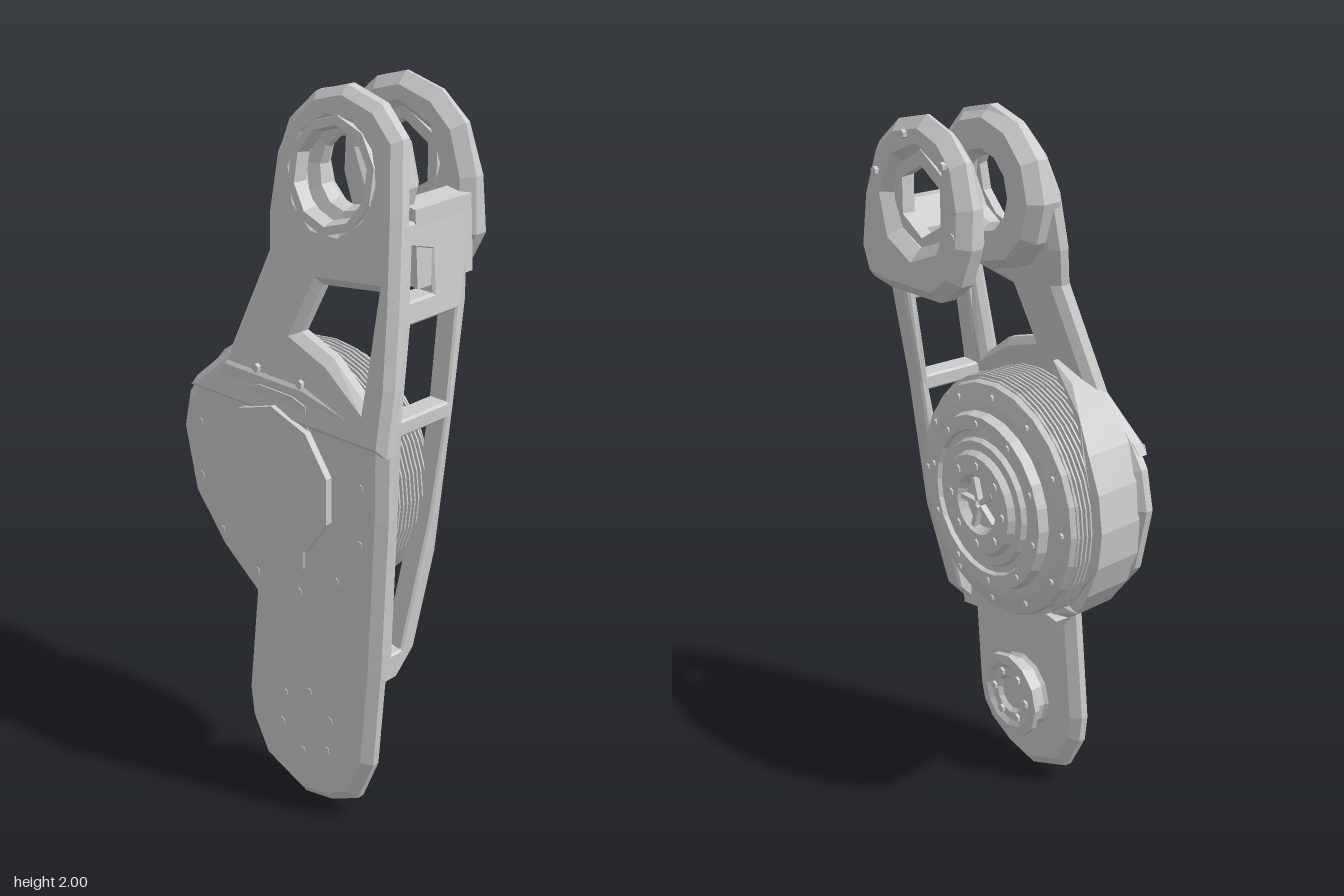
import * as THREE from 'three';

const mat = new THREE.MeshStandardMaterial({ color: 0xcccccc, flatShading: true });
const MOTOR = [0, 0.95], JOINT = [0.1, 1.78], FOOT = [0.1, 0.25];
const SLOPE = 0.175; // backward lean of the upper arm

const shapeOf = (pts) => new THREE.Shape(pts.map(([x, y]) => new THREE.Vector2(x, y)));
const ring = ([cx, cy], r, n, start = 0) => Array.from({ length: n }, (_, i) => {
  const a = start + (i / n) * Math.PI * 2;
  return [cx + r * Math.cos(a), cy + r * Math.sin(a)];
});

// Slab whose bevel stays inside the outline, spanning z0..z1
function slab(pts, holes, z0, z1, size = 0.02, thick = 0.02) {
  const s = shapeOf(pts);
  s.holes = holes.map(shapeOf);
  const g = new THREE.ExtrudeGeometry(s, {
    depth: z1 - z0 - 2 * thick, bevelEnabled: size > 0, bevelSize: size,
    bevelThickness: thick, bevelOffset: -size, bevelSegments: 1,
  });
  return g.translate(0, 0, z0 + thick);
}

// Move every vertex by a rule
function warp(g, rule) {
  const p = g.attributes.position, v = new THREE.Vector3();
  for (let i = 0; i < p.count; i++) {
    v.fromBufferAttribute(p, i);
    rule(v);
    p.setXYZ(i, v.x, v.y, v.z);
  }
  g.computeVertexNormals();
  return g;
}

// Turned part about a z axis through the given centre; profile is [radius, z]
function turned(profile, [cx, cy], sides) {
  const pts = profile.map(([r, z]) => new THREE.Vector2(r, z));
  return new THREE.LatheGeometry(pts, sides).rotateX(Math.PI / 2).translate(cx, cy, 0);
}

export function createModel() {
  const model = new THREE.Group();
  const add = (name, g, parent = model) => {
    const m = new THREE.Mesh(g, mat);
    m.name = name;
    parent.add(m);
    return m;
  };
  const bolts = (name, centre, r, n, z, size, start = 0) => {
    const group = new THREE.Group();
    group.name = name;
    for (const [x, y] of ring(centre, r, n, start)) {
      add('bolt', new THREE.CylinderGeometry(size, size, 0.012, 6).rotateX(Math.PI / 2).translate(x, y, z), group);
    }
    model.add(group);
  };

  // Lower half of the front plate
  add('lowerPlate', slab([
    [0.38, 1.2], [0.1, 1.26], [-0.2, 1.26], [-0.31, 1.17], [-0.36, 1.1], [-0.385, 0.99],
    [-0.345, 0.81], [-0.23, 0.67], [-0.105, 0.575], [-0.14, 0.25], [-0.13, 0.17],
    [-0.07, 0.06], [0.08, 0], [0.18, 0.02], [0.28, 0.07], [0.335, 0.2], [0.36, 0.5], [0.38, 0.95],
  ], [], 0.15, 0.215, 0.028, 0.022));

  // Leaning upper half with the triangular window and joint opening
  const upper = slab([
    [0.382, 1.13], [0.38, 1.3], [0.36, 1.5], [0.33, 1.72], [0.3, 1.9], [0.22, 1.97], [0.1, 2],
    [0, 1.97], [-0.07, 1.9], [-0.11, 1.8], [-0.115, 1.65], [-0.1, 1.55], [-0.2, 1.27],
    [-0.32, 1.16], [-0.34, 1.13],
  ], [
    [[0.045, 1.37], [0.17, 1.33], [0.285, 1.25], [0.29, 1.53], [0.1, 1.505]],
    ring(JOINT, 0.13, 10),
  ], 0.15, 0.215, 0.022, 0.02);
  add('upperPlate', warp(upper, (v) => { v.z -= SLOPE * (v.y - 1.2); }));

  // Front joint boss: flat at the back, following the lean at the front
  const boss = turned([
    [0.09, 0.03], [0.11, 0], [0.19, 0], [0.218, 0.035], [0.215, 0.09],
    [0.15, 0.105], [0.14, 0.06], [0.1, 0.05], [0.09, 0.03],
  ], JOINT, 12);
  add('frontJointBoss', warp(boss, (v) => { if (v.z > 0.045) v.z -= SLOPE * (v.y - 1.78); }));
  const lip = turned([[0.115, 0.085], [0.15, 0.085], [0.148, 0.118], [0.125, 0.118], [0.115, 0.085]], JOINT, 10);
  add('frontJointLip', warp(lip, (v) => { v.z -= SLOPE * (v.y - 1.78); }));

  // Rear fork ear and its inner ring
  const ear = slab([
    [0.1, 2], [0.22, 1.97], [0.3, 1.9], [0.34, 1.77], [0.345, 1.62], [0.3, 1.54], [0.22, 1.53],
    [0, 1.54], [-0.08, 1.6], [-0.115, 1.7], [-0.11, 1.8], [-0.07, 1.91], [0, 1.97],
  ], [ring(JOINT, 0.12, 8)], -0.235, -0.13, 0.03, 0.03);
  add('rearJointEar', warp(ear, (v) => { if (v.z < -0.18) v.z += 0.08 * (v.y - 1.53); }));
  add('rearJointRing', turned([[0.095, -0.19], [0.135, -0.19], [0.135, -0.15], [0.1, -0.15], [0.095, -0.19]], JOINT, 6));
  bolts('rearJointBolts', JOINT, 0.175, 6, -0.216, 0.012, 0.3);

  // Block bridging the front boss to the rear ear
  add('forkBridge', slab([[0.19, 1.56], [0.345, 1.53], [0.333, 1.73], [0.27, 1.74], [0.19, 1.68]], [],
    -0.15, 0.06, 0, 0));

  // Side truss, drawn in (-z, y) and extruded across x
  const truss = slab([
    [-0.19, 0.46], [-0.13, 0.46], [-0.065, 0.53], [0, 0.8], [0.05, 1.2], [0.11, 1.47], [0.13, 1.62],
    [0.12, 1.7], [0, 1.7], [-0.1, 1.7], [-0.14, 1.5], [-0.19, 1.2],
  ], [
    [[-0.15, 0.54], [-0.115, 0.54], [-0.03, 0.9], [0.02, 1.17], [-0.145, 1.17]],
    [[-0.145, 1.215], [0.025, 1.215], [0.07, 1.45], [-0.1, 1.45]],
    [[-0.095, 1.51], [-0.01, 1.51], [-0.005, 1.62], [-0.075, 1.64]],
  ], 0.315, 0.38, 0.006, 0.006).rotateY(Math.PI / 2);
  add('sideTruss', warp(truss, (v) => {
    v.x -= v.y > 1.3 ? (v.y - 1.3) * 0.115 : Math.max(0, 0.95 - v.y) * 0.045;
  }));

  // Curved wall cupping the motor, deepest on the outer side
  const arc = [];
  const steps = 12, a0 = 1.75, a1 = 5.05;
  for (const [r, dir] of [[0.383, 1], [0.348, -1]]) {
    for (let i = 0; i <= steps; i++) {
      const t = dir > 0 ? i / steps : 1 - i / steps;
      const a = a0 + (a1 - a0) * t;
      arc.push([r * Math.cos(a), 0.96 + r * Math.sin(a)]);
    }
  }
  add('motorCup', warp(slab(arc, [], 0.02, 0.17, 0, 0), (v) => {
    if (v.z < 0.1) v.z = 0.11 - 0.09 * THREE.MathUtils.smoothstep(-v.x, 0.1, 0.34);
    else v.x *= 0.96;
  }));
  // Ledge closing the pocket under the motor
  add('motorLedge', slab([[-0.1, 0.57], [-0.07, 0.52], [0.33, 0.46], [0.34, 0.54], [0.13, 0.6]], [],
    0.105, 0.17, 0, 0));

  // Motor body with cooling fins
  const fins = [[0.3, 0.16], [0.3, 0.13]];
  for (let i = 0; i < 10; i++) {
    const z = 0.125 - i * 0.0145;
    fins.push([0.342, z], [0.342, z - 0.005], [0.318, z - 0.007], [0.318, z - 0.012]);
  }
  fins.push([0.335, -0.02], [0, -0.02]);
  add('motorFins', turned(fins.reverse(), MOTOR, 28));

  // Stepped rear cap of the motor
  add('motorCap', turned([
    [0, -0.075], [0.07, -0.075], [0.085, -0.098], [0.14, -0.098], [0.15, -0.08], [0.175, -0.08],
    [0.182, -0.066], [0.2, -0.066], [0.205, -0.078], [0.245, -0.078], [0.252, -0.05],
    [0.28, -0.048], [0.325, -0.035], [0.335, -0.012],
  ], MOTOR, 24));
  bolts('motorRimBolts', MOTOR, 0.295, 12, -0.043, 0.009);
  bolts('motorCapBolts', MOTOR, 0.224, 10, -0.077, 0.009, 0.2);
  bolts('motorHubBolts', MOTOR, 0.113, 8, -0.097, 0.012);
  const rotor = new THREE.Group();
  rotor.name = 'rotorSpokes';
  for (let i = 0; i < 5; i++) {
    const g = new THREE.BoxGeometry(0.065, 0.014, 0.02).translate(0.042, 0, -0.083);
    add('spoke', g.rotateZ((i / 5) * Math.PI * 2).translate(...MOTOR, 0), rotor);
  }
  model.add(rotor);

  // Front cover with a tab above and below
  add('frontCover', slab(ring([0, 0.96], 0.21, 10, 0.31), [], 0.2, 0.235, 0, 0));
  for (const s of [1, -1]) {
    const tab = slab([[-0.1, 0.15], [0.12, 0.15], [0.11, 0.235], [0.06, 0.25], [-0.06, 0.25], [-0.1, 0.235]],
      [], 0.2, 0.219, 0, 0);
    if (s < 0) tab.rotateZ(Math.PI);
    add(s > 0 ? 'upperCoverTab' : 'lowerCoverTab', tab.translate(0, 0.96, 0));
  }
  bolts('coverBolts', [0, 0.95], 0.31, 12, 0.211, 0.012, 0.25);
  bolts('footBolts', FOOT, 0.1, 6, 0.211, 0.012, 0.4);

  // Lower joint hub on the back of the plate
  add('footHub', turned([
    [0, 0.11], [0.05, 0.11], [0.06, 0.098], [0.085, 0.098], [0.1, 0.088], [0.128, 0.09],
    [0.13, 0.105], [0.108, 0.115], [0.108, 0.14], [0.125, 0.16],
  ], FOOT, 12));
  bolts('footHubBolts', FOOT, 0.072, 6, 0.096, 0.013);

  return model;
}
